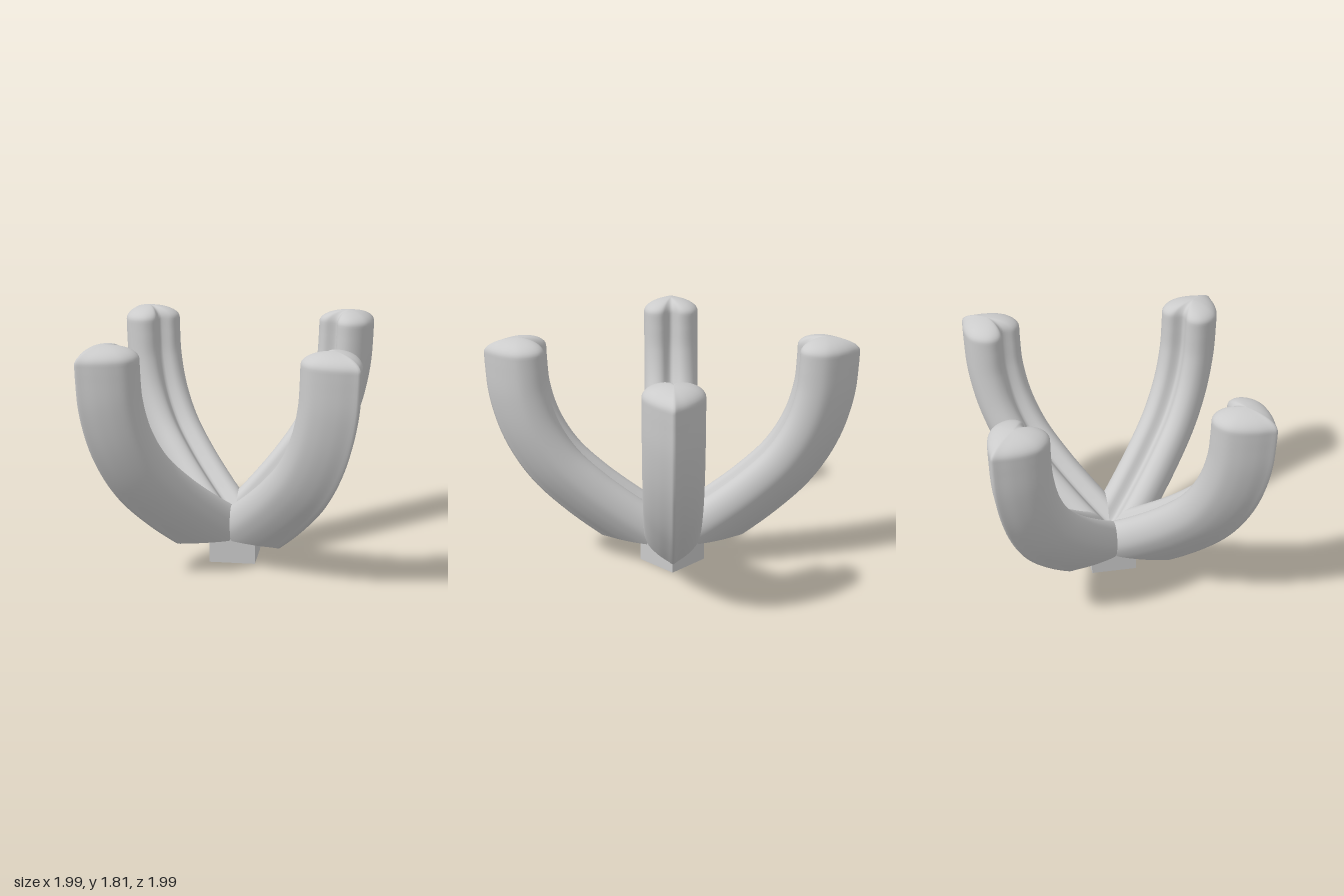
import * as THREE from 'three';

const FLOOR = 0.21;   // flat underside of the arms
const N = 80;         // points around the arm
const ROWS = 40;      // stations along the arm
const CAP = 10;       // rings in the domed tip

// Heart-shaped section: x = outward, y = sideways
function heartSection() {
  const half = [[-0.075, 0.03], [-0.112, 0.07], [-0.118, 0.115], [-0.092, 0.17], [-0.03, 0.208],
    [0.06, 0.216], [0.15, 0.178], [0.24, 0.107], [0.305, 0.035], [0.33, 0.009]];
  const mirrored = half.map(([u, t]) => [u, -t]).reverse();
  const pts = [[-0.055, 0], ...half, [0.336, 0], ...mirrored].map(([u, t]) => new THREE.Vector3(u, t, 0));
  return new THREE.CatmullRomCurve3(pts, true).getSpacedPoints(N).slice(0, N);
}

// Centre line of an arm: x = distance from the axis, y = height
const path = new THREE.CatmullRomCurve3([[-0.12, 0.17], [0.1, 0.315], [0.33, 0.47], [0.59, 0.672],
  [0.81, 0.89], [0.96, 1.14], [1.038, 1.4], [1.056, 1.6], [1.06, 1.71]]
  .map(([r, y]) => new THREE.Vector3(r, y, 0)));

// Point of the swept section at path parameter s
function sweep(s, u, t) {
  const p = path.getPoint(s), d = path.getTangent(s);
  return new THREE.Vector3(p.x + u * d.y, p.y - u * d.x, t);
}

// Where a lengthwise line leaves the mitre planes and the underside
function startOf(u, t) {
  let lo = 0, hi = 1;
  for (let k = 0; k < 24; k++) {
    const mid = (lo + hi) / 2, p = sweep(mid, u, t);
    if (p.x >= Math.abs(t) && p.y >= FLOOR) hi = mid; else lo = mid;
  }
  return hi;
}

function armGeometries() {
  const section = heartSection();
  const starts = section.map(p => startOf(p.x, p.y));
  const rows = [];
  for (let j = 0; j <= ROWS; j++) {
    rows.push(section.map((p, i) => sweep(starts[i] + (1 - starts[i]) * j / ROWS, p.x, p.y)));
  }
  // Domed tip: shrinking rings over the last section
  const rim = rows[ROWS], centre = new THREE.Vector3(1.14, 1.71, 0);
  for (let k = 1; k <= CAP; k++) {
    const a = k / CAP * Math.PI / 2;
    rows.push(rim.map(p => {
      const q = centre.clone().lerp(p, Math.cos(a));
      q.y += 0.1 * Math.sin(a);
      return q;
    }));
  }
  const index = [];
  for (let j = 0; j < rows.length - 1; j++) {
    for (let i = 0; i < N; i++) {
      const a = j * N + i, b = j * N + (i + 1) % N;
      index.push(a, b, b + N, a, b + N, a + N);
    }
  }
  const arm = new THREE.BufferGeometry().setFromPoints(rows.flat());
  arm.setIndex(index);
  arm.computeVertexNormals();

  // Flat underside as a fan from the axis
  const fan = [];
  const flat = p => new THREE.Vector3(p.x, FLOOR, p.z);
  rows[0].forEach((p, i) => {
    fan.push(new THREE.Vector3(0, FLOOR, 0), flat(rows[0][(i + 1) % N]), flat(p));
  });
  const under = new THREE.BufferGeometry().setFromPoints(fan);
  under.setAttribute('normal', new THREE.Float32BufferAttribute(fan.flatMap(() => [0, -1, 0]), 3));
  return { arm, under };
}

export function createModel() {
  const model = new THREE.Group();
  const material = new THREE.MeshStandardMaterial({ color: 0xcccccc });
  const { arm, under } = armGeometries();

  // Four curved arms on the diagonals
  ['frontLeft', 'backLeft', 'backRight', 'frontRight'].forEach((name, k) => {
    const group = new THREE.Group();
    group.name = name + 'Arm';
    const body = new THREE.Mesh(arm, material);
    body.name = 'armBody';
    const bottom = new THREE.Mesh(under, material);
    bottom.name = 'armUnderside';
    group.add(body, bottom);
    group.rotation.y = -Math.PI / 4 + k * Math.PI / 2;
    model.add(group);
  });

  // Square foot
  const foot = new THREE.Mesh(new THREE.BoxGeometry(0.35, 0.22, 0.35), material);
  foot.name = 'foot';
  foot.position.y = 0.11;
  model.add(foot);
  return model;
}
